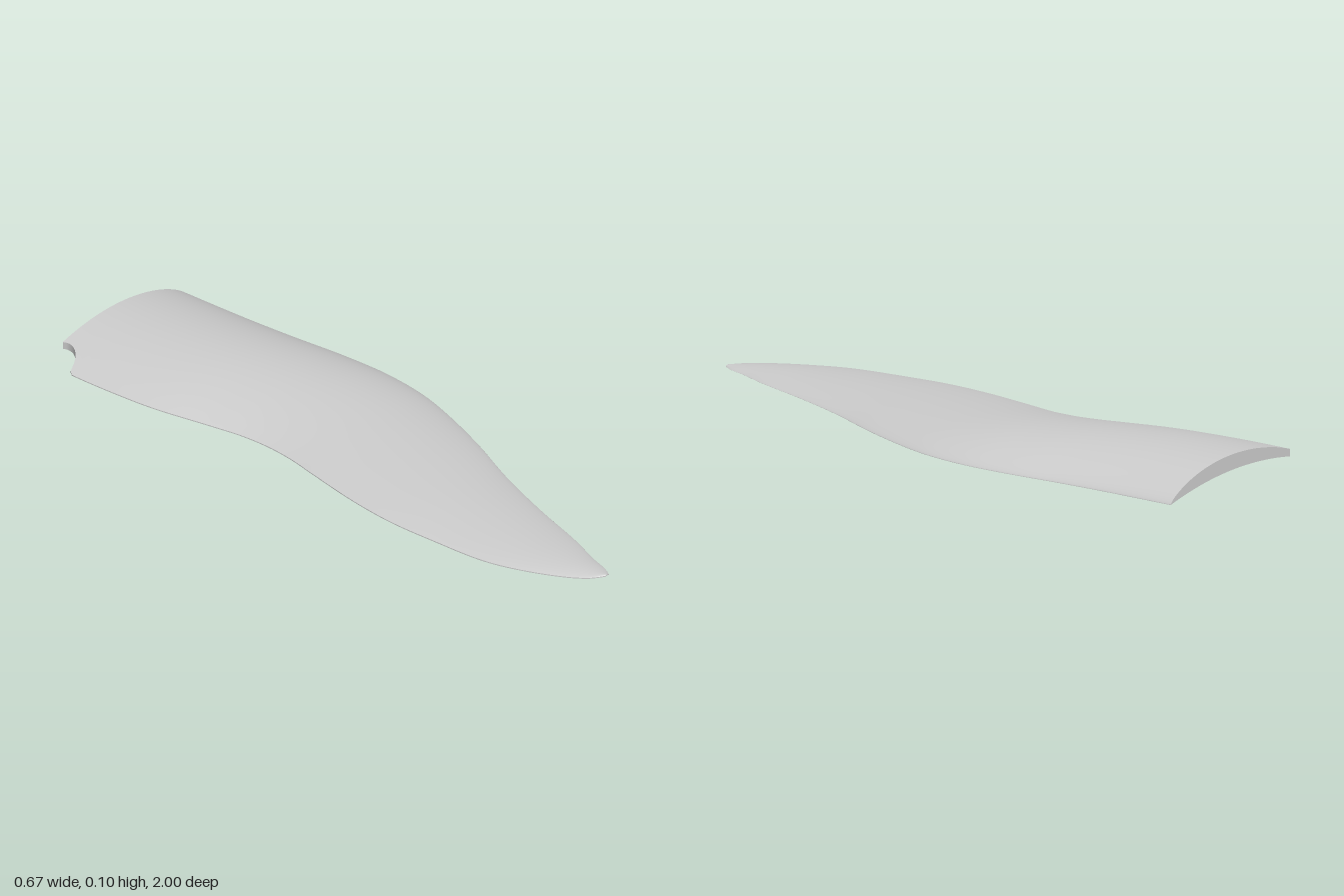
import * as THREE from 'three';

// Smooth curve through [z, value] pairs
function curve(pairs) {
  const c = new THREE.CubicInterpolant(pairs.map(p => p[0]), pairs.map(p => p[1]), 1);
  return z => c.evaluate(z)[0];
}

// Plan outline: +x leading edge, -x trailing edge, scoop at the root corner
const leadX = curve([[-1, .26], [-.75, .28], [-.6, .297], [-.4, .325], [-.25, .335], [-.1, .323], [0, .3],
  [.2, .235], [.4, .155], [.6, .09], [.8, .035], [.9, 0], [.97, -.02], [1, -.035]]);
const trailX = curve([[-1, -.342], [-.9, -.34], [-.8, -.334], [-.6, -.31], [-.4, -.262], [-.3, -.239], [-.2, -.229],
  [-.1, -.233], [0, -.248], [.2, -.274], [.35, -.28], [.5, -.268], [.7, -.24], [.8, -.203], [.9, -.15],
  [.95, -.115], [.98, -.085], [1, -.05]]);
const notchX = curve([[-1, -.265], [-.98, -.26], [-.95, -.268], [-.92, -.295], [-.905, -.325], [-.9, -.34]]);

// Heights of the two edges and of the arch above the chord
const leadY = curve([[-1, 0], [-.2, .006], [1, .009]]);
const trailY = curve([[-1, .03], [-.5, .028], [.3, .021], [1, .009]]);
const arch = curve([[-1, .085], [-.6, .08], [-.3, .067], [0, .05], [.4, .032], [.7, .02], [.9, .012], [1, .004]]);

// Point on the upper or lower skin; s runs 0 (leading) to 1 (trailing)
function skin(z, s, upper) {
  const x0 = leadX(z), x1 = trailX(z);
  const cut = z < -.9 ? (notchX(z) - x0) / (x1 - x0) : 1;
  const u = cut * (s < 1 ? 1 - Math.cos(s * Math.PI / 2) : 1);
  const bulge = upper
    ? Math.pow(u, .75) * Math.pow(1 - u, .9) / .321
    : .47 * 4 * u * (1 - u);
  const edge = upper ? .003 * u : 0;
  return [x0 + (x1 - x0) * u, THREE.MathUtils.lerp(leadY(z), trailY(z), u) + arch(z) * bulge + edge, z];
}

// Indexed grid surface from a point function
function grid(ni, nj, point) {
  const pos = [], idx = [];
  for (let i = 0; i <= ni; i++) for (let j = 0; j <= nj; j++) pos.push(...point(i / ni, j / nj));
  for (let i = 0; i < ni; i++) for (let j = 0; j < nj; j++) {
    const a = i * (nj + 1) + j, b = a + nj + 1;
    idx.push(a, a + 1, b, a + 1, b + 1, b);
  }
  const g = new THREE.BufferGeometry();
  g.setAttribute('position', new THREE.Float32BufferAttribute(pos, 3));
  g.setIndex(idx);
  g.computeVertexNormals();
  return g;
}

export function createModel() {
  const group = new THREE.Group();
  group.name = 'blade';
  const material = new THREE.MeshStandardMaterial({ color: 0xcccccc });
  const add = (name, geometry) => {
    const mesh = new THREE.Mesh(geometry, material);
    mesh.name = name;
    group.add(mesh);
  };
  const station = t => -Math.cos(t * Math.PI); // denser at root and tip

  // Lower and upper skins, wrapped round the leading edge
  add('bladeSkin', grid(120, 56, (i, j) => skin(station(i), Math.abs(2 * j - 1), j > .5)));
  // Thin trailing wall, including the scooped root corner
  add('trailingEdge', grid(120, 1, (i, j) => skin(station(i), 1, j < .5)));
  // Flat closing faces
  add('rootFace', grid(1, 28, (i, j) => skin(-1, j, i > .5)));
  add('tipFace', grid(1, 28, (i, j) => skin(1, 1 - j, i > .5)));
  return group;
}
